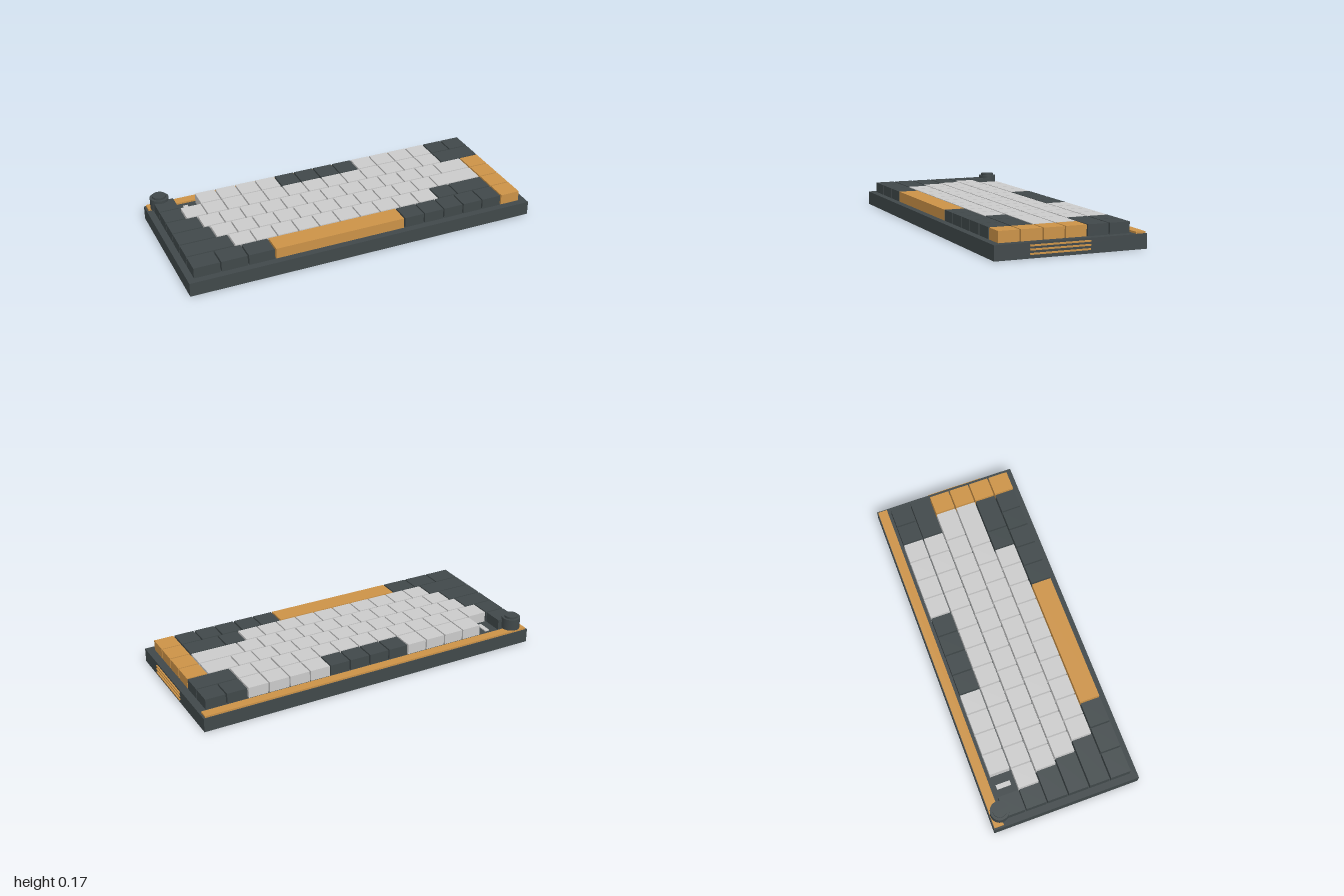
import * as THREE from 'three';

const mat = (name, color) => Object.assign(new THREE.MeshStandardMaterial({ color }), { name });

export function createModel() {
  const root = new THREE.Group();
  root.name = 'keyboard';
  const caseDark = mat('case charcoal', 0x40484a);
  const dark = mat('key charcoal', 0x40484a);
  const light = mat('key light grey', 0xcacaca);
  const amber = mat('amber', 0xcb9247);

  // Box given by its minimum and maximum corners
  const box = (name, material, [x0, y0, z0], [x1, y1, z1], parent = root) => {
    const mesh = new THREE.Mesh(new THREE.BoxGeometry(x1 - x0, y1 - y0, z1 - z0), material);
    mesh.position.set((x0 + x1) / 2, (y0 + y1) / 2, (z0 + z1) / 2);
    mesh.name = name;
    parent.add(mesh);
    return mesh;
  };

  // Case and the accent strip along its back edge
  const top = 0.078;
  box('case', caseDark, [-1, 0, -0.415], [0.992, top, 0.415]);
  box('backStrip', amber, [-0.99, top, -0.41], [0.982, 0.088, -0.357]);

  // Keys: each row is a list of [colour, width in units, count]; null leaves a gap
  const rows = [
    [[dark, 1, 1], [null, 1, 1], [light, 1, 4], [dark, 1, 4], [light, 1, 4], [dark, 1, 2]],
    [[dark, 1, 1], [light, 1, 13], [dark, 2, 1]],
    [[dark, 1.5, 1], [light, 1, 12], [light, 1.5, 1], [amber, 1, 1]],
    [[dark, 1.75, 1], [light, 1, 11], [light, 2.25, 1], [amber, 1, 1]],
    [[dark, 2.25, 1], [light, 1, 10], [dark, 1, 1], [dark, 1.75, 1], [amber, 1, 1]],
    [[dark, 1.25, 3], [amber, 6.25, 1], [dark, 1, 5], [amber, 1, 1]],
  ];
  const unit = 0.12, gap = 0.004, startX = -0.967, startZ = -0.343;
  const keys = new THREE.Group();
  keys.name = 'keys';
  root.add(keys);
  rows.forEach((row, r) => {
    let x = startX;
    const z = startZ + r * 0.1205;
    for (const [material, width, count] of row) {
      for (let i = 0; i < count; i++, x += width * unit) {
        if (!material) continue;
        box('key', material, [x + gap, top, z + gap], [x + width * unit - gap, 0.137, z + 0.1165], keys);
      }
    }
  });

  // Indicator light in the gap beside the first key
  box('indicatorLight', light, [-0.8, top, -0.325], [-0.774, 0.084, -0.245]);

  // Two-step volume knob
  const knob = new THREE.Group();
  knob.name = 'knob';
  knob.position.set(-0.924, 0, -0.357);
  root.add(knob);
  for (const [name, radius, y0, y1] of [['knobBody', 0.052, 0.088, 0.153], ['knobCap', 0.038, 0.153, 0.165]]) {
    const mesh = new THREE.Mesh(new THREE.CylinderGeometry(radius, radius, y1 - y0, 32), dark);
    mesh.position.y = (y0 + y1) / 2;
    mesh.name = name;
    knob.add(mesh);
  }

  // Three accent bars on the side of the case
  for (const y of [0.023, 0.044, 0.064]) {
    box('sideBar', amber, [0.985, y - 0.004, -0.097], [1, y + 0.004, 0.229]);
  }
  return root;
}
